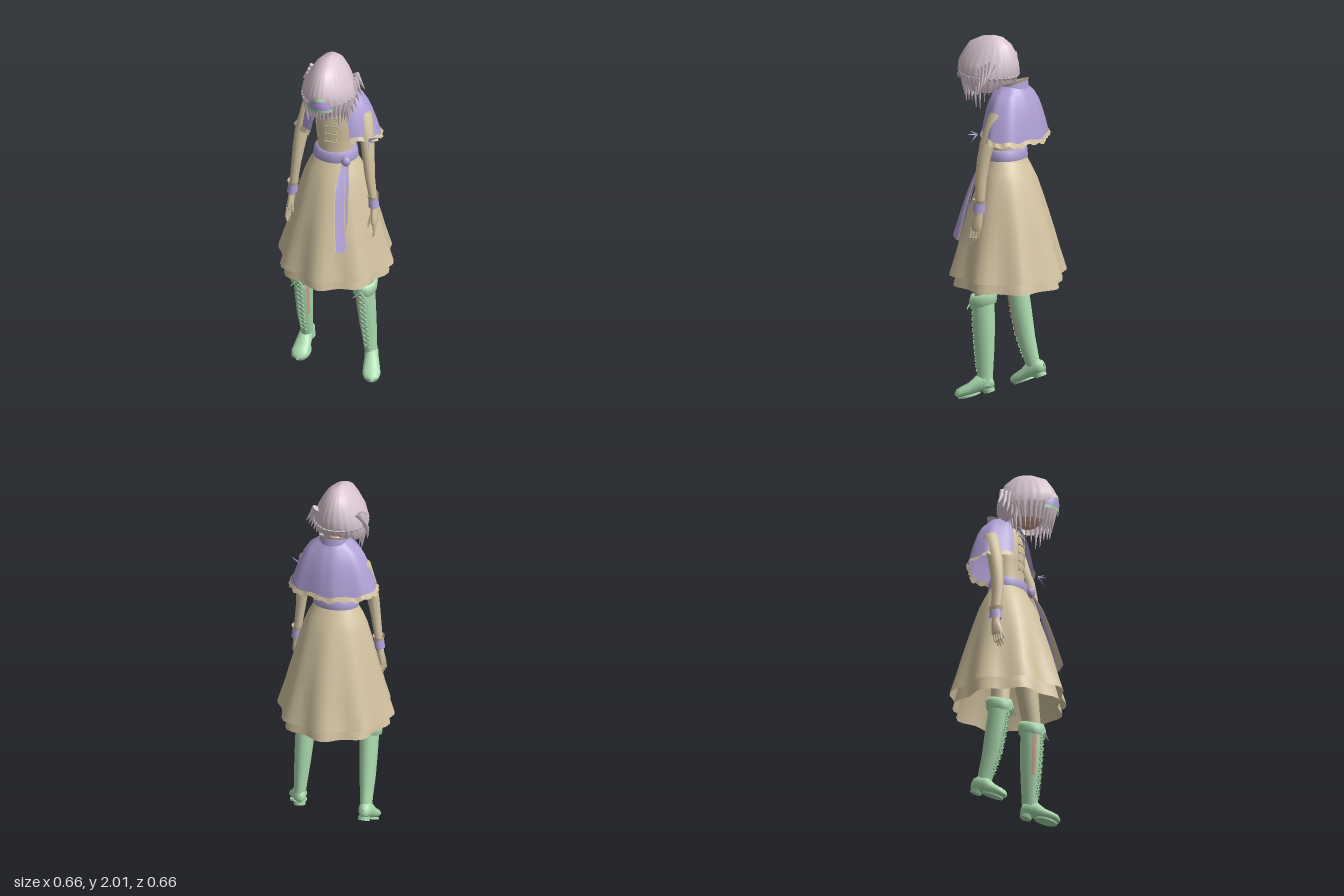
import * as THREE from 'three';

const mat = (name, color, side = THREE.DoubleSide) => {
  const m = new THREE.MeshStandardMaterial({ color, side });
  m.name = name;
  return m;
};

// Surface through horizontal rings [x, y, z, halfWidth, halfDepth]; angle 0 faces +z.
// warp(point, angle, t) may move each point, t running from the lowest ring to the highest.
function loft(rings, n = 16, { from = 0, to = Math.PI * 2, warp } = {}) {
  const rows = rings[0][1] > rings[rings.length - 1][1] ? [...rings].reverse() : rings;
  const closed = to - from > 6.28, cols = closed ? n : n + 1;
  const pos = [], idx = [], p = new THREE.Vector3();
  rows.forEach(([x, y, z, w, d], i) => {
    for (let j = 0; j < cols; j++) {
      const a = from + (to - from) * j / n;
      p.set(x + w * Math.sin(a), y, z + d * Math.cos(a));
      if (warp) warp(p, a, i / (rows.length - 1));
      pos.push(p.x, p.y, p.z);
    }
  });
  for (let i = 0; i < rows.length - 1; i++) for (let j = 0; j < n; j++) {
    const a = i * cols + j, b = i * cols + (j + 1) % cols;
    idx.push(a, b, a + cols, b, b + cols, a + cols);
  }
  const g = new THREE.BufferGeometry();
  g.setAttribute('position', new THREE.Float32BufferAttribute(pos, 3));
  g.setIndex(idx);
  g.computeVertexNormals();
  return g;
}

// Tapered rod between two points
function rod(a, b, r0, r1, flat = 1, sides = 6) {
  const va = new THREE.Vector3(...a), dir = new THREE.Vector3(...b).sub(va);
  const g = new THREE.CylinderGeometry(r1, r0, dir.length(), sides);
  g.scale(1, 1, flat);
  g.translate(0, dir.length() / 2, 0);
  g.applyQuaternion(new THREE.Quaternion().setFromUnitVectors(new THREE.Vector3(0, 1, 0), dir.normalize()));
  return g.translate(va.x, va.y, va.z);
}

export function createModel() {
  const root = new THREE.Group();
  const beige = mat('beige cloth', 0xd2c2a0), purple = mat('purple cloth', 0xb0a0d6);
  const green = mat('green leather', 0xaadbae), hairMat = mat('pale pink hair', 0xd8c5cf);
  const skin = mat('skin', 0xd6a892);
  const add = (name, geo, m, parent = root) => {
    const mesh = new THREE.Mesh(geo, m);
    mesh.name = name;
    parent.add(mesh);
    return mesh;
  };
  const group = (name) => {
    const g = new THREE.Group();
    g.name = name;
    root.add(g);
    return g;
  };

  // Skirt layers with eight folds that deepen towards the hem
  const folds = (p, a, t) => {
    const k = 1 + 0.062 * Math.pow(1 - t, 1.5) * Math.cos(8 * a);
    p.x *= k;
    p.z *= k;
  };
  add('skirt', loft([[0, 0.68, 0, 0.311, 0.313], [0, 0.8, 0, 0.278, 0.28], [0, 0.9, 0, 0.255, 0.255], [0, 1, 0, 0.229, 0.226],
    [0, 1.1, 0, 0.205, 0.193], [0, 1.2, 0, 0.177, 0.157], [0, 1.26, 0, 0.153, 0.128], [0, 1.33, 0, 0.115, 0.092]], 48, { warp: folds }), beige);
  add('underskirt', loft([[0, 0.62, 0, 0.288, 0.292], [0, 0.72, 0, 0.268, 0.27], [0, 0.9, 0, 0.22, 0.22], [0, 1.2, 0, 0.14, 0.12]], 48, { warp: folds }), beige);

  // Torso
  add('bodice', loft([[0, 1.3, 0, 0.11, 0.09], [0, 1.38, 0, 0.099, 0.083], [0, 1.48, 0, 0.112, 0.085], [0, 1.57, 0, 0.117, 0.086],
    [0, 1.65, -0.01, 0.108, 0.078], [0, 1.71, -0.025, 0.07, 0.062], [0, 1.74, -0.03, 0.04, 0.04]], 24), beige);
  const lacing = group('bodiceLacing');
  for (let i = 0; i < 5; i++) {
    const y = 1.44 + i * 0.05;
    add('lace', rod([-0.035, y, 0.083], [0.035, y, 0.083], 0.004, 0.004), beige, lacing);
    for (const s of [-1, 1]) add('laceEdge', rod([s * 0.035, y - 0.012, 0.083], [s * 0.028, y + 0.025, 0.083], 0.004, 0.003), beige, lacing);
  }

  // Sash with knot and two hanging tails
  const tilt = (p) => { p.y += p.x * 0.02 + p.z * -0.05; };
  add('sash', loft([[0, 1.318, 0, 0.112, 0.09], [0, 1.323, 0, 0.127, 0.103], [0, 1.372, 0, 0.12, 0.1], [0, 1.38, 0, 0.1, 0.084]], 28, { warp: tilt }), purple);
  add('sashKnot', new THREE.SphereGeometry(0.03, 12, 8).scale(0.9, 1, 0.7).translate(0.09, 1.34, 0.095), purple);
  const path = (...pts) => new THREE.CatmullRomCurve3(pts.map((p) => new THREE.Vector3(...p)));
  const inner = path([0.07, 1.33, 0.105], [0.06, 1.21, 0.18], [0.075, 1.03, 0.245], [0.098, 0.87, 0.29]);
  const outer = path([0.105, 1.33, 0.095], [0.122, 1.21, 0.14], [0.137, 1.03, 0.19], [0.158, 0.85, 0.22]);
  const tail = (lo, hi, push, end) => {
    const g = new THREE.BoxGeometry(1, 1, 0.005, 2, 10, 1), p = g.attributes.position;
    for (let i = 0; i < p.count; i++) {
      const t = (0.5 - p.getY(i)) * end, s = lo + (hi - lo) * (p.getX(i) + 0.5);
      const v = inner.getPoint(t).lerp(outer.getPoint(t), s);
      p.setXYZ(i, v.x + push * t * 0.6, v.y, v.z + p.getZ(i) + push * t);
    }
    g.computeVertexNormals();
    return g;
  };
  add('sashTailFront', tail(0.06, 0.7, 0, 1), purple);
  add('sashTailTrim', tail(0, 0.76, -0.006, 1), beige);
  add('sashTailBack', tail(0.4, 1, -0.02, 0.97), purple);

  // Cape, open at the front, with a wavy trim
  const open = { from: 0.5, to: Math.PI * 2 - 0.5 };
  const drape = (p, a, t) => {
    const low = 1 - t, back = Math.max(0, -Math.cos(a));
    p.z += low * (-0.008 * Math.cos(6 * a) - 0.02 * back * Math.sin(a + 0.4) * Math.sign(Math.sin(a)) * 0.5);
    p.y += low * (0.03 * Math.max(0, Math.cos(a)) - 0.012 * back + 0.006 * Math.cos(9 * a));
  };
  add('cape', loft([[0, 1.465, -0.043, 0.235, 0.15], [0, 1.52, -0.042, 0.218, 0.144], [0, 1.58, -0.04, 0.197, 0.135], [0, 1.64, -0.038, 0.172, 0.122],
    [0, 1.69, -0.036, 0.14, 0.102], [0, 1.72, -0.035, 0.1, 0.085], [0, 1.74, -0.035, 0.08, 0.075]], 48, { ...open, warp: drape }), purple);
  add('capeTrim', loft([[0, 1.443, -0.043, 0.25, 0.16], [0, 1.468, -0.043, 0.236, 0.151]], 60, {
    ...open,
    warp: (p, a, t) => {
      drape(p, a, 0);
      p.x += (1 - t) * 0.006 * Math.sin(26 * a);
      p.y += (1 - t) * 0.007 * Math.sin(19 * a);
    },
  }), beige);
  const lift = (p) => { p.y -= (p.z + 0.04) * 0.35; };
  add('collar', loft([[0, 1.69, -0.038, 0.088, 0.08], [0, 1.745, -0.038, 0.077, 0.076]], 24, { warp: lift }), purple);
  add('collarTrim', loft([[0, 1.743, -0.038, 0.077, 0.076], [0, 1.754, -0.038, 0.083, 0.081]], 24, { warp: lift }), beige);
  const ribbons = group('sleeveRibbons');
  for (let i = 0; i < 4; i++) add('ribbon', rod([0.215, 1.49, 0.07], [0.27 - i * 0.014, 1.52 - i * 0.025, 0.08 + (i % 2) * 0.02], 0.006, 0.002, 0.5), purple, ribbons);

  // Arms, cuffs and hands
  for (const s of [-1, 1]) {
    const arm = group(s > 0 ? 'leftArm' : 'rightArm');
    const rings = (list) => list.map(([x, ...r]) => [x * s, ...r]);
    add('sleeve', loft(rings([[0.237, 1.03, 0.048, 0.018, 0.023], [0.228, 1.12, 0.045, 0.022, 0.028], [0.212, 1.25, 0.048, 0.027, 0.034],
      [0.2, 1.36, 0.036, 0.034, 0.038], [0.188, 1.45, 0.02, 0.039, 0.042], [0.155, 1.6, -0.02, 0.045, 0.045], [0.13, 1.65, -0.025, 0.01, 0.01]]), 14), beige, arm);
    add('cuff', loft(rings([[0.235, 1.06, 0.046, 0.029, 0.036], [0.23, 1.115, 0.045, 0.026, 0.034]]), 14), purple, arm);
    add('cuffTrim', loft(rings([[0.23, 1.11, 0.045, 0.027, 0.034], [0.229, 1.13, 0.045, 0.033, 0.041]]), 14), beige, arm);
    add('hand', loft(rings([[0.244, 0.955, 0.062, 0.012, 0.028], [0.243, 0.98, 0.06, 0.018, 0.035], [0.239, 1.02, 0.052, 0.018, 0.028],
      [0.236, 1.06, 0.046, 0.017, 0.022]]), 12), beige, arm);
    for (let i = 0; i < 4; i++) {
      const z = 0.04 + i * 0.015, k = s * (0.238 + i * 0.004);
      const mid = [k + s * 0.004, 0.92, z + 0.008];
      add('finger', rod([k, 0.97, z], mid, 0.009, 0.008), beige, arm);
      add('fingertip', rod(mid, [k - s * 0.004, 0.882 + Math.abs(i - 1.5) * 0.008, z + 0.014], 0.008, 0.004), beige, arm);
    }
    add('thumb', rod([s * 0.232, 1.01, 0.07], [s * 0.212, 0.935, 0.094], 0.011, 0.005), beige, arm);
  }

  // Legs and boots; shaft rings are [x, y, z, halfWidth, halfDepth]
  const legs = [
    { name: 'leftLeg', s: 1, foot: [0.216, 0.107, 0.03], pitch: 0.3, yaw: 0.33,
      shaft: [[0.216, 0.09, 0.022, 0.034, 0.045], [0.207, 0.16, 0.025, 0.034, 0.047], [0.2, 0.28, 0.033, 0.043, 0.057], [0.191, 0.42, 0.042, 0.05, 0.065], [0.184, 0.56, 0.05, 0.053, 0.064]] },
    { name: 'rightLeg', s: -1, foot: [-0.188, 0.113, -0.062], pitch: 0.42, yaw: -0.04,
      shaft: [[-0.187, 0.09, -0.06, 0.034, 0.045], [-0.183, 0.16, -0.04, 0.034, 0.047], [-0.181, 0.28, -0.005, 0.043, 0.057], [-0.179, 0.42, 0.02, 0.05, 0.062], [-0.179, 0.56, 0.043, 0.053, 0.062]] },
  ];
  for (const { name, s, foot, pitch, yaw, shaft } of legs) {
    const leg = group(name), [tx, , tz] = shaft[4];
    add('stocking', loft([[tx, 0.5, tz, 0.044, 0.05], [tx - s * 0.01, 0.62, tz, 0.046, 0.052], [tx - s * 0.06, 1, 0.02, 0.07, 0.075]], 16), beige, leg);
    add('bootShaft', loft(shaft, 20), green, leg);
    add('bootCuff', loft([[tx, 0.53, tz, 0.055, 0.064], [tx, 0.525, tz, 0.066, 0.075], [tx, 0.565, tz, 0.07, 0.079], [tx, 0.592, tz, 0.061, 0.07], [tx, 0.58, tz, 0.045, 0.05]], 24, {
      warp: (p, a) => { p.y -= (p.z - tz) * 0.3 - 0.014 * Math.pow(Math.max(0, Math.cos(a)), 8); },
    }), green, leg);
    // Bare strip along the inner side of the shaft
    const strip = shaft.slice(2).map(([x, y, z, w, d], i) => [x, i === 2 ? 0.53 : y, z, w + 0.002, d + 0.002]);
    const mid = -s * 0.9;
    add('shinStrip', loft(strip, 5, { from: mid - 0.2, to: mid + 0.2 }), skin, leg);
    // Crossed laces
    const front = (y) => {
      const i = Math.max(1, shaft.findIndex((r) => r[1] >= y)), a = shaft[i - 1], b = shaft[i], t = (y - a[1]) / (b[1] - a[1]);
      return [a[0] + (b[0] - a[0]) * t, y, a[2] + a[4] + (b[2] + b[4] - a[2] - a[4]) * t];
    };
    for (let i = 0; i < 11; i++) {
      const p = front(0.16 + i * 0.032), q = front(0.185 + i * 0.032);
      for (const k of [-1, 1]) add('bootLace', rod([p[0] - k * 0.017, p[1], p[2]], [q[0] + k * 0.017, q[1], q[2]], 0.004, 0.004, 1, 5), green, leg);
    }
    for (const k of [-1, 1]) add('laceEnd', rod([tx, 0.54, tz + 0.075], [tx + k * 0.04, 0.5, tz + 0.08], 0.006, 0.003), green, leg);
    // Foot, built along y then laid forward
    const shoe = new THREE.Group();
    shoe.name = 'shoe';
    shoe.position.set(...foot);
    shoe.rotation.set(pitch, yaw, 0, 'YXZ');
    leg.add(shoe);
    add('shoeUpper', loft([[0, -0.056, 0.012, 0.005, 0.01], [0, -0.05, 0.012, 0.025, 0.034], [0, -0.02, 0.004, 0.037, 0.046], [0, 0.03, 0.006, 0.039, 0.046],
      [0, 0.08, 0.02, 0.046, 0.034], [0, 0.13, 0.026, 0.05, 0.028], [0, 0.16, 0.029, 0.04, 0.022], [0, 0.176, 0.033, 0.004, 0.006]], 16).rotateX(Math.PI / 2), green, shoe);
    add('heel', new THREE.CylinderGeometry(0.035, 0.032, 0.022, 14).translate(0, -0.053, -0.015), green, shoe);
    add('sole', new THREE.CylinderGeometry(0.05, 0.05, 0.01, 18).scale(0.95, 1, 1.3).translate(0, -0.053, 0.1), green, shoe);
  }

  // Bowed head
  add('neck', rod([0, 1.69, -0.025], [0, 1.79, 0.07], 0.045, 0.042, 1, 14), skin);
  add('head', new THREE.SphereGeometry(0.1, 20, 14).scale(0.9, 1.08, 1).translate(0, 1.79, 0.125), skin);

  // Hair: ridged cap plus a fringe of tapering locks
  const hair = group('hair');
  const cap = [[0.001, 0.09, 0.09, 2], [0.045, 0.165, 0.03, 1.985], [0.08, 0.235, -0.015, 1.95], [0.109, 0.27, -0.04, 1.9], [0.134, 0.295, -0.05, 1.85],
    [0.148, 0.298, -0.053, 1.8], [0.144, 0.272, -0.035, 1.75], [0.128, 0.24, 0.005, 1.7]]
    .map(([w, f, b, y]) => [0, y, (f + b) / 2, w, (f - b) / 2]);
  const shapeHair = (p, a, t) => {
    const k = 1 + 0.016 * (1 - t) * Math.cos(24 * a);
    p.x *= k * (1 - 0.16 * Math.max(0, Math.cos(a)));
    p.z = 0.12 + (p.z - 0.12) * k;
  };
  add('hairCap', loft(cap, 96, { warp: shapeHair }), hairMat, hair);
  for (let i = 0; i < 34; i++) {
    const a = (i / 34) * Math.PI * 2, sx = Math.sin(a), cz = Math.cos(a);
    const z = 0.115 + 0.14 * cz, jitter = 0.018 * Math.sin(i * 4.7);
    const yTip = (z < 0.12 ? 1.61 + (0.12 - z) * 0.85 : 1.61 + (z - 0.12) * 0.55) + jitter;
    const base = [sx * 0.135 * (1 - 0.16 * Math.max(0, cz)), 1.79, 0.12 + 0.162 * cz];
    add('lock', rod(base, [sx * 0.11, yTip, z + 0.01], 0.021, 0.002, 0.7, 6), hairMat, hair);
  }
  for (const s of [-1, 1]) for (let i = 0; i < 5; i++) {
    add('sideLock', rod([s * 0.12, 1.87 - i * 0.012, 0.03 + i * 0.025], [s * (0.178 - i * 0.008), 1.785 - i * 0.028, 0.035 + i * 0.022], 0.026, 0.002, 0.7, 6), hairMat, hair);
  }
  for (let i = -2; i <= 2; i++) add('fringeLock', rod([i * 0.022, 1.77, 0.265], [i * 0.016, 1.625 + Math.abs(i) * 0.02, 0.2], 0.018, 0.002, 0.7, 6), hairMat, hair);

  // Brow band under the fringe: purple front with green edges
  const band = group('browBand');
  const arc = { from: -0.95, to: 0.95 };
  add('bandFront', loft([[0, 1.765, 0.21, 0.083, 0.092], [0, 1.795, 0.21, 0.08, 0.098], [0, 1.83, 0.21, 0.06, 0.094]], 14, arc), purple, band);
  add('bandUpperEdge', loft([[0, 1.824, 0.21, 0.063, 0.097], [0, 1.84, 0.21, 0.052, 0.094]], 14, arc), green, band);
  add('bandLowerEdge', loft([[0, 1.752, 0.21, 0.09, 0.092], [0, 1.768, 0.21, 0.087, 0.095]], 14, arc), green, band);

  return root;
}
